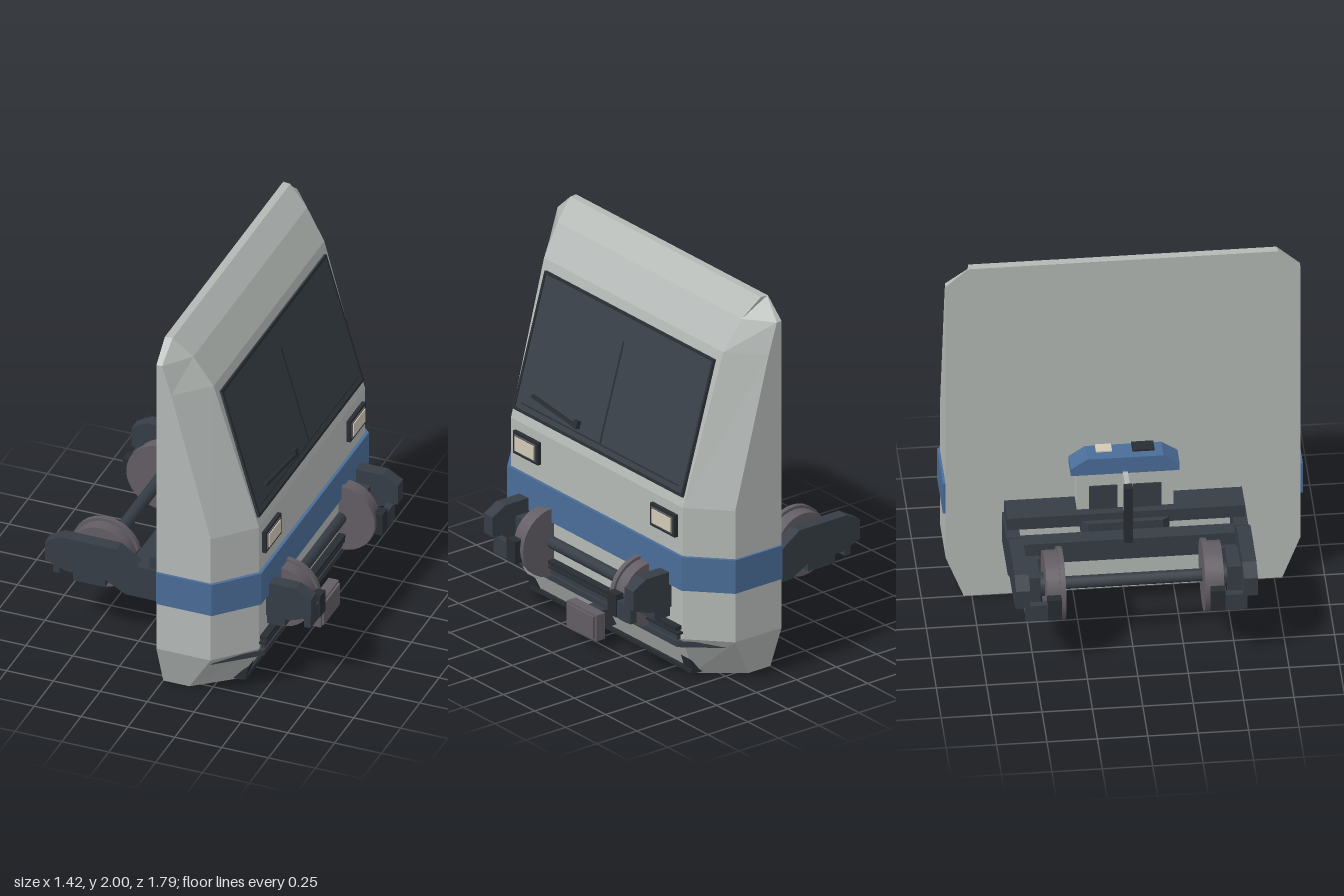
import * as THREE from 'three';

const mat = (name, color) => {
  const m = new THREE.MeshStandardMaterial({ color });
  m.name = name;
  return m;
};

// Closed solid from horizontal rings: { y, pts: [[x, z], ...] }, counterclockwise from above
function loft(rings) {
  const v = [];
  const n = rings[0].pts.length;
  const put = (r, i) => v.push(r.pts[i % n][0], r.y, r.pts[i % n][1]);
  for (let k = 0; k < rings.length - 1; k++) {
    const a = rings[k], b = rings[k + 1];
    for (let i = 0; i < n; i++) {
      put(a, i); put(a, i + 1); put(b, i + 1);
      put(a, i); put(b, i + 1); put(b, i);
    }
  }
  const lo = rings[0], hi = rings[rings.length - 1];
  for (let i = 1; i < n - 1; i++) {
    put(hi, 0); put(hi, i); put(hi, i + 1);
    put(lo, 0); put(lo, i + 1); put(lo, i);
  }
  const g = new THREE.BufferGeometry();
  g.setAttribute('position', new THREE.Float32BufferAttribute(v, 3));
  g.computeVertexNormals();
  return g;
}

// Cab outline: half width w, side corner xs, nose xf with half width wf
const cabRing = (y, w, xs, xf, wf, x0 = 0) => ({
  y, pts: [[x0, w], [xs, w], [xf, wf], [xf, -wf], [xs, -w], [x0, -w]],
});

function extrude(points, depth) {
  const s = new THREE.Shape(points.map(([x, y]) => new THREE.Vector2(x, y)));
  return new THREE.ExtrudeGeometry(s, { depth, bevelEnabled: false });
}

export function createModel() {
  const root = new THREE.Group();
  const body = mat('light grey paint', 0xb4b9b6);
  const blue = mat('blue paint', 0x4a6d98);
  const dark = mat('dark frame', 0x363d45);
  const trim = mat('black trim', 0x282d32);
  const glass = mat('dark glass', 0x384048);
  const steel = mat('wheel steel', 0x625d64);
  const cream = mat('lamp cream', 0xd2cab6);

  const add = (name, geo, m, parent = root) => {
    const mesh = new THREE.Mesh(geo, m);
    mesh.name = name;
    parent.add(mesh);
    return mesh;
  };
  // Box given by its min and max on each axis
  const box = (name, m, x0, x1, y0, y1, z0, z1, parent = root) => {
    const mesh = add(name, new THREE.BoxGeometry(x1 - x0, y1 - y0, Math.abs(z1 - z0)), m, parent);
    mesh.position.set((x0 + x1) / 2, (y0 + y1) / 2, (z0 + z1) / 2);
    return mesh;
  };
  // Cylinder along z
  const drum = (name, m, r, x, y, z0, z1, parent = root, sides = 24) => {
    const g = new THREE.CylinderGeometry(r, r, Math.abs(z1 - z0), sides).rotateX(Math.PI / 2);
    add(name, g, m, parent).position.set(x, y, (z0 + z1) / 2);
  };

  // Cab shell and waist stripe
  add('cabShell', loft([
    cabRing(0, 0.79, 0.14, 0.35, 0.62),
    cabRing(0.24, 0.88, 0.29, 0.47, 0.69),
    cabRing(0.95, 0.88, 0.29, 0.47, 0.69),
    cabRing(1.74, 0.88, 0.08, 0.24, 0.72),
    cabRing(1.9, 0.88, 0.03, 0.14, 0.74),
    cabRing(2, 0.77, 0.005, 0.04, 0.765),
  ]), body);
  add('waistStripe', loft([0.51, 0.69].map((y) => cabRing(y, 0.893, 0.3, 0.486, 0.7, 0.003))), blue);

  // Windscreen, built flat and tilted onto the nose
  const screen = new THREE.Group();
  screen.name = 'windscreen';
  screen.position.set(0.355, 1.345, 0);
  screen.rotation.z = 0.283;
  root.add(screen);
  box('windscreenGlass', glass, -0.004, 0.009, -0.36, 0.36, -0.68, 0.68, screen);
  for (const s of [-1, 1]) {
    box('screenFrameSide', trim, 0, 0.014, -0.36, 0.36, s * 0.667, s * 0.68, screen);
    box('screenFrameEdge', trim, 0, 0.014, s * 0.353 - 0.007, s * 0.353 + 0.007, -0.68, 0.68, screen);
  }
  box('screenLowerSeam', trim, 0, 0.013, -0.318, -0.312, -0.63, 0.63, screen);
  box('screenDivider', trim, 0, 0.011, -0.31, 0.22, -0.005, 0.005, screen);
  const wiper = box('wiper', trim, 0.01, 0.03, -0.277, -0.262, 0.18, 0.55, screen);
  wiper.rotation.x = -0.1;
  box('wiperPivot', trim, 0.01, 0.035, -0.295, -0.255, 0.17, 0.2, screen);

  // Headlights and nose bars
  for (const s of [-1, 1]) {
    box('headlightFrame', trim, 0.46, 0.49, 0.78, 0.9, s * 0.45, s * 0.65);
    box('headlightBezel', steel, 0.47, 0.494, 0.795, 0.885, s * 0.467, s * 0.633);
    box('headlightLens', cream, 0.47, 0.499, 0.803, 0.877, s * 0.475, s * 0.625);
    const g = extrude([[0.3, 0.01], [0.375, 0.015], [0.4, 0.1]], 0.07);
    add('lowerCornerGuard', g, trim).position.z = s * 0.62 - 0.035;
  }
  box('noseBar', dark, 0.45, 0.49, 0.235, 0.29, -0.67, 0.67);
  box('noseBarLip', trim, 0.45, 0.508, 0.29, 0.31, -0.68, 0.68);
  box('noseBarStep', trim, 0.45, 0.505, 0.268, 0.28, -0.69, 0.69);
  const skirt = [[0.28, 0.85], [0.49, 0.67], [0.49, -0.67], [0.28, -0.85]];
  add('wrapBar', loft([{ y: 0.195, pts: skirt }, { y: 0.225, pts: skirt }]), dark);
  box('lowerLip', trim, 0.33, 0.385, 0.015, 0.035, -0.65, 0.65);

  // Coupler
  box('couplerShank', dark, 0.36, 0.52, 0.07, 0.17, -0.05, 0.05);
  box('couplerHead', steel, 0.51, 0.565, 0.05, 0.19, -0.118, 0.118);
  box('couplerFace', steel, 0.56, 0.577, 0.06, 0.18, -0.105, 0.105);

  // Bogie
  const bogie = new THREE.Group();
  bogie.name = 'bogie';
  root.add(bogie);
  const half = [[0.28, 0.325], [0.39, 0.385], [0.6, 0.385], [0.71, 0.425], [0.71, 0.53],
    [0.63, 0.575], [0.33, 0.575], [0.22, 0.5]];
  const outline = [...half, ...half.map(([x, y]) => [-x, y]).reverse()];
  for (const sz of [-1, 1]) {
    add('sideFrame', extrude(outline, 0.07), dark, bogie).position.z = sz * 0.565 - 0.035;
    for (const sx of [-1, 1]) {
      const x = sx * 0.48;
      drum('wheelTread', steel, 0.168, x, 0.4, sz * 0.37, sz * 0.44, bogie, 32);
      drum('wheelFlange', steel, 0.183, x, 0.4, sz * 0.345, sz * 0.372, bogie, 32);
      drum('wheelHub', dark, 0.06, x, 0.4, sz * 0.44, sz * 0.48, bogie, 16);
      box('axleBox', dark, x - 0.085, x + 0.085, 0.33, 0.5, sz * 0.465, sz * 0.585, bogie);
      for (const bx of [0.28, 0.67]) {
        const c = sx * bx;
        box('brakeHanger', dark, c - 0.018, c + 0.018, 0.33, 0.42, sz * 0.42, sz * 0.55, bogie);
        box('brakeShoe', trim, c - 0.023, c + 0.023, 0.33, 0.45, sz * 0.37, sz * 0.44, bogie);
      }
    }
  }
  for (const sx of [-1, 1]) {
    drum('axle', dark, 0.032, sx * 0.48, 0.4, -0.48, 0.48, bogie, 12);
    box('crossBeam', dark, sx * 0.23 - 0.04, sx * 0.23 + 0.04, 0.37, 0.49, -0.54, 0.54, bogie);
  }
  box('bolster', dark, -0.155, 0.155, 0.5, 0.57, -0.59, 0.59, bogie);
  add('bolsterCheek', loft([0.42, 0.53].map((y) => ({
    y, pts: [[0, 0.215], [0, -0.22], [-0.155, -0.22], [-0.182, -0.19], [-0.182, 0.18], [-0.155, 0.215]],
  }))), dark, bogie);
  drum('driveMotor', steel, 0.11, 0, 0.4, -0.2, 0.2, bogie);
  box('motorFoot', dark, -0.09, 0.09, 0.245, 0.295, -0.2, 0.2, bogie);

  // Equipment case behind the wall, with a chamfered blue lid
  box('caseBody', body, -0.11, 0.02, 0.55, 0.785, -0.24, 0.24);
  const lid = extrude([[-0.27, 0.78], [0.27, 0.78], [0.27, 0.82], [0.19, 0.875], [-0.19, 0.875], [-0.27, 0.82]], 0.135);
  add('caseLid', lid.rotateY(Math.PI / 2), blue).position.x = -0.115;
  box('lidLamp', cream, -0.06, 0.01, 0.87, 0.882, -0.14, -0.06);
  box('lidBox', trim, -0.07, 0.01, 0.87, 0.886, 0.04, 0.15);
  for (const s of [-1, 1]) box('casePanel', dark, -0.117, -0.1, 0.57, 0.71, s * 0.04, s * 0.18);

  // Thin fin with its end post
  box('supportFin', body, -0.25, -0.1, 0.5, 0.79, -0.012, 0.012);
  box('finPost', trim, -0.29, -0.245, 0.48, 0.81, -0.022, 0.022);

  return root;
}
